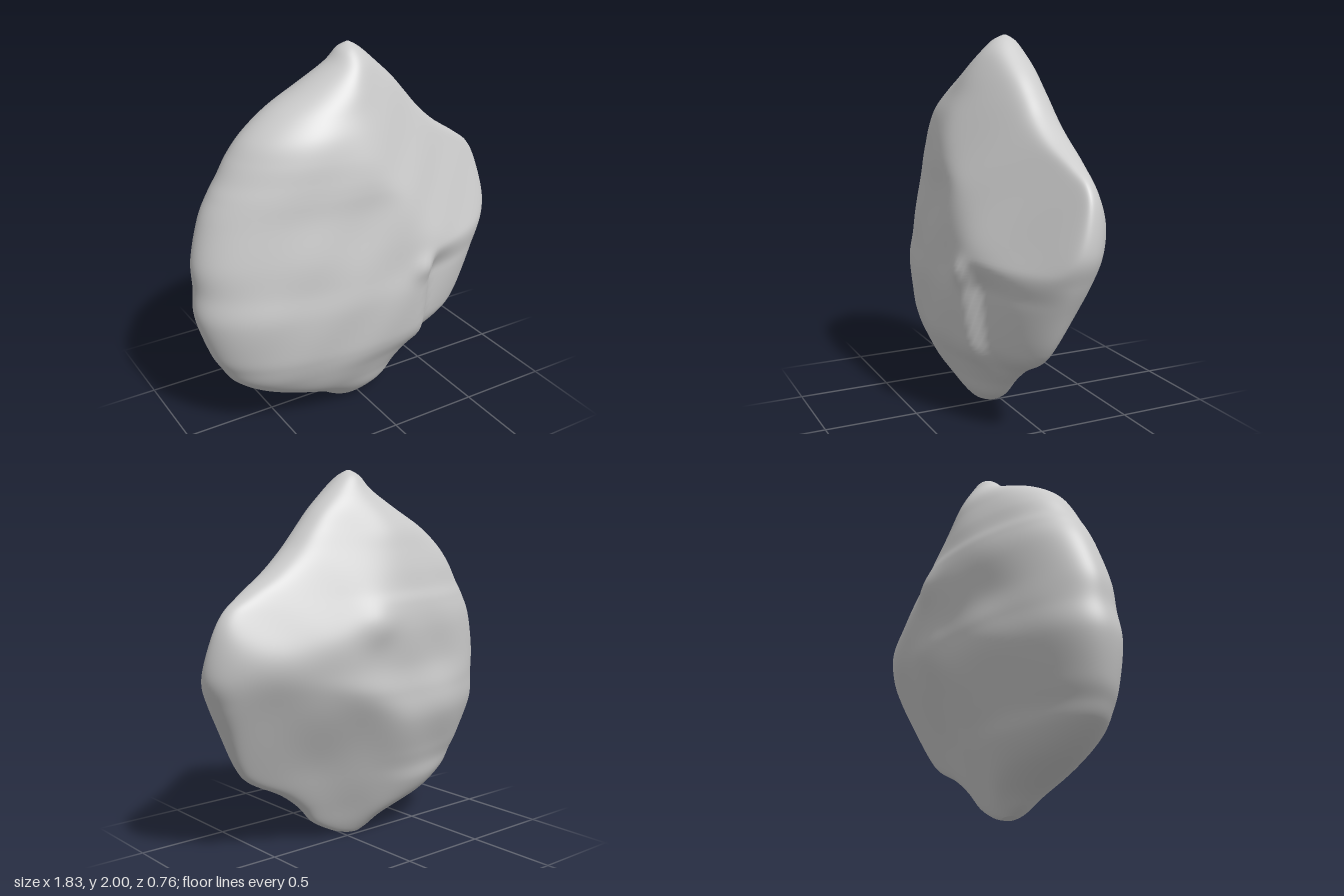
import * as THREE from 'three';

// Cross-sections from bottom to top: y, left x, right x, front z, back z, rim z
const SECTIONS = [
  [0.00, -0.12, -0.02, 0.09, 0.02, 0.05],
  [0.03, -0.18, 0.07, 0.14, -0.01, 0.05],
  [0.10, -0.30, 0.19, 0.20, -0.07, 0.06],
  [0.20, -0.58, 0.28, 0.255, -0.14, 0.06],
  [0.30, -0.74, 0.41, 0.30, -0.19, 0.06],
  [0.40, -0.81, 0.60, 0.34, -0.22, 0.06],
  [0.50, -0.86, 0.69, 0.36, -0.26, 0.05],
  [0.70, -0.915, 0.79, 0.378, -0.34, 0.03],
  [0.85, -0.905, 0.86, 0.37, -0.355, 0.01],
  [1.00, -0.90, 0.91, 0.36, -0.345, -0.01],
  [1.20, -0.84, 0.885, 0.335, -0.365, -0.03],
  [1.32, -0.78, 0.83, 0.33, -0.36, -0.03],
  [1.40, -0.73, 0.72, 0.32, -0.335, -0.03],
  [1.50, -0.67, 0.56, 0.30, -0.31, -0.03],
  [1.60, -0.59, 0.44, 0.27, -0.28, -0.02],
  [1.70, -0.46, 0.35, 0.225, -0.25, -0.02],
  [1.80, -0.28, 0.26, 0.18, -0.20, -0.02],
  [1.90, -0.12, 0.15, 0.12, -0.13, -0.02],
  [1.97, -0.05, 0.07, 0.05, -0.08, -0.02],
  [2.00, 0.00, 0.02, -0.01, -0.03, -0.02],
];

// Broken facets: normal and offset of each cutting plane
const facet = (x, y, z, offset) => new THREE.Plane(new THREE.Vector3(x, y, z).normalize(), offset);
const FACETS = [
  facet(0.30, -0.42, -0.857, 0.02),   // lower back undercut
  facet(0.417, 0.33, 0.846, -0.745),  // upper front slope
  facet(0.295, 0.336, -0.894, -0.785), // upper back slope
];
const SOFTNESS = 0.018;

const smooth = THREE.MathUtils.smoothstep;
const gauss = (dx, dy, r) => Math.exp(-(dx * dx + dy * dy) / (r * r));

// Smooth interpolation between the listed sections
function sectionAt(u) {
  const last = SECTIONS.length - 1;
  const i = Math.min(Math.floor(u), last - 1);
  const f = u - i;
  const row = (k) => SECTIONS[THREE.MathUtils.clamp(k, 0, last)];
  return row(0).map((_, k) => {
    const a = row(i - 1)[k], b = row(i)[k], c = row(i + 1)[k], d = row(i + 2)[k];
    return b + 0.5 * f * (c - a + f * (2 * a - 5 * b + 4 * c - d + f * (3 * (b - c) + d - a)));
  });
}

function rockPoint(u, t) {
  const [y, left, right, front, back, rim] = sectionAt(u);
  const c = Math.cos(t), s = Math.sin(t);
  const x = (left + right) / 2 + c * (right - left) / 2;
  const p = new THREE.Vector3(x, y, rim + Math.abs(s) * ((s > 0 ? front : back) - rim));

  // Flatten whatever sticks out past each facet, with a rounded crease
  for (const plane of FACETS) {
    const over = SOFTNESS * Math.log(1 + Math.exp(plane.distanceToPoint(p) / SOFTNESS));
    p.addScaledVector(plane.normal, -over);
  }

  const face = Math.abs(s);
  if (s > 0) {
    // Step along the lower front, with a small chipped lip at its top
    const step = smooth(p.x, 0.28, 0.37) * (1 - smooth(y, 0.74, 0.92)) * smooth(y, 0.05, 0.4);
    p.z -= 0.07 * step * face;
    p.z += 0.03 * gauss(p.x - 0.27, y - 0.83, 0.07);
  } else {
    // Hollow in the undercut and a knob on the back
    p.z += 0.02 * face * gauss(p.x - 0.25, y - 0.45, 0.22);
    p.z -= 0.025 * gauss(p.x - 0.1, y - 1.23, 0.11);
  }

  // Gentle unevenness of the stone
  const fade = smooth(y, 0, 0.2) * (1 - smooth(y, 1.8, 2)) * face;
  p.z += 0.003 * fade * Math.sin(9 * p.x + 4 * y + Math.sin(7 * y));
  p.z += 0.002 * fade * Math.sin(13 * y - 15 * p.x + 1);
  return p;
}

export function createModel() {
  const rows = 152, cols = 160;
  const positions = [], index = [];
  for (let i = 0; i <= rows; i++) {
    for (let j = 0; j < cols; j++) {
      const p = rockPoint((i / rows) * (SECTIONS.length - 1), (j / cols) * Math.PI * 2);
      positions.push(p.x, p.y, p.z);
    }
  }
  for (let i = 0; i < rows; i++) {
    for (let j = 0; j < cols; j++) {
      const a = i * cols + j, b = i * cols + (j + 1) % cols;
      index.push(a, a + cols, b, b, a + cols, b + cols);
    }
  }
  // Close the bottom and the tip
  const top = rows * cols;
  for (let j = 1; j < cols - 1; j++) {
    index.push(0, j, j + 1, top, top + j + 1, top + j);
  }

  const geometry = new THREE.BufferGeometry();
  geometry.setAttribute('position', new THREE.Float32BufferAttribute(positions, 3));
  geometry.setIndex(index);
  geometry.computeVertexNormals();

  const rock = new THREE.Mesh(geometry, new THREE.MeshStandardMaterial({ color: 0xcccccc }));
  rock.name = 'rock';
  const group = new THREE.Group();
  group.name = 'stone';
  group.add(rock);
  return group;
}
